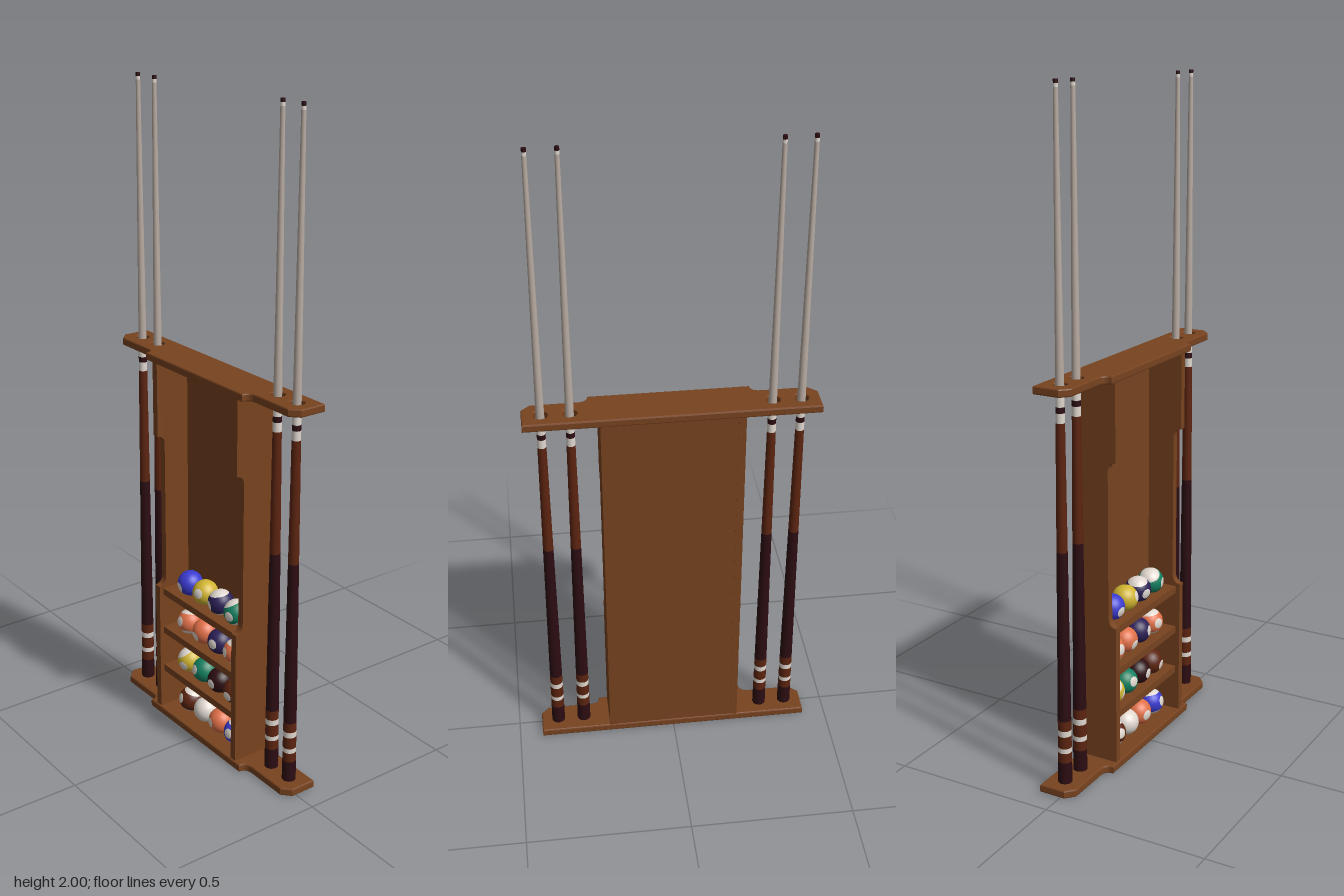
import * as THREE from 'three';

const colours = {
  wood: 0x78431f, darkStain: 0x2c0d12, redStain: 0x5c2410, ivory: 0xe0d8d0, shaft: 0xb9aca2,
  blue: 0x3a3ad0, yellow: 0xd0b430, purple: 0x2c2058, green: 0x138060, orange: 0xe07048,
};
const mats = {};
for (const [name, color] of Object.entries(colours)) {
  mats[name] = new THREE.MeshStandardMaterial({ color });
  mats[name].name = name;
}

function add(parent, name, geometry, mat, x = 0, y = 0, z = 0) {
  const mesh = new THREE.Mesh(geometry, mats[mat]);
  mesh.name = name;
  mesh.position.set(x, y, z);
  parent.add(mesh);
  return mesh;
}

const cueXs = [-0.373, -0.29, 0.29, 0.373];
const cueZ = -0.015;

// Notched end board, drawn in plan with -z as shape y, optionally drilled for the cues
function boardGeometry(drilled) {
  const s = new THREE.Shape();
  s.moveTo(-0.427, 0.067);
  s.lineTo(-0.427, -0.014);
  s.lineTo(-0.4, -0.039);
  s.lineTo(-0.265, -0.039);
  s.quadraticCurveTo(-0.235, -0.039, -0.235, -0.065);
  s.lineTo(0.235, -0.065);
  s.quadraticCurveTo(0.235, -0.039, 0.265, -0.039);
  s.lineTo(0.4, -0.039);
  s.lineTo(0.427, -0.014);
  s.lineTo(0.427, 0.067);
  s.closePath();
  if (drilled) {
    for (const x of cueXs) {
      const hole = new THREE.Path();
      hole.absarc(x, -cueZ, 0.021, 0, Math.PI * 2, true);
      s.holes.push(hole);
    }
  }
  const b = 0.004;
  const g = new THREE.ExtrudeGeometry(s, {
    depth: 0.024 - 2 * b, bevelThickness: b, bevelSize: b, bevelOffset: -b, bevelSegments: 2, curveSegments: 12,
  });
  g.translate(0, 0, b);
  return g.rotateX(-Math.PI / 2);
}

// Side panel with a shallow recess along its front edge, drawn as (z, y)
function sideGeometry() {
  const s = new THREE.Shape();
  s.moveTo(-0.065, 0.02);
  s.lineTo(0.06, 0.02);
  s.lineTo(0.06, 0.45);
  s.quadraticCurveTo(0.035, 0.452, 0.035, 0.485);
  s.lineTo(0.035, 0.925);
  s.quadraticCurveTo(0.035, 0.95, 0.06, 0.952);
  s.lineTo(0.06, 1.19);
  s.lineTo(-0.065, 1.19);
  s.closePath();
  const g = new THREE.ExtrudeGeometry(s, { depth: 0.022, bevelEnabled: false, curveSegments: 8 });
  return g.translate(0, 0, -0.011).rotateY(-Math.PI / 2);
}

// Cue made of coloured tapering sections: [top height, colour]
const cueSections = [
  [0.09, 'darkStain'], [0.12, 'redStain'], [0.135, 'ivory'], [0.172, 'redStain'], [0.19, 'ivory'],
  [0.22, 'redStain'], [0.73, 'darkStain'], [1.1, 'redStain'], [1.128, 'ivory'], [1.145, 'darkStain'],
  [1.172, 'ivory'], [1.98, 'shaft'], [1.99, 'ivory'], [2, 'darkStain'],
];
const cueRadius = (y) => THREE.MathUtils.lerp(0.021, 0.0065, Math.min(1, y / 1.98));

function makeCue() {
  const cue = new THREE.Group();
  let y0 = 0.023;
  cueSections.forEach(([y1, mat], i) => {
    const g = new THREE.CylinderGeometry(cueRadius(y1), cueRadius(y0), y1 - y0, 20, 1,
      i > 0 && i < cueSections.length - 1);
    add(cue, 'cueSection', g, mat, 0, (y0 + y1) / 2, 0);
    y0 = y1;
  });
  return cue;
}

// Ball with a pale spot; striped balls get pale caps around a coloured band
const R = 0.04;
function makeBall(mat, striped, seed) {
  const ball = new THREE.Group();
  const zone = (from, to) => new THREE.SphereGeometry(R, 28, 16, 0, Math.PI * 2, from, to - from);
  if (striped) {
    add(ball, 'ballCap', zone(0, 0.85), 'ivory');
    add(ball, 'ballBand', zone(0.85, Math.PI - 0.85), mat);
    add(ball, 'ballCap', zone(Math.PI - 0.85, Math.PI), 'ivory');
  } else {
    add(ball, 'ballBody', zone(0, Math.PI), mat);
  }
  if (mat !== 'ivory') {
    const spot = new THREE.SphereGeometry(R + 0.0005, 20, 4, 0, Math.PI * 2, 0, 0.4);
    add(ball, 'ballSpot', spot.rotateX(Math.PI / 2), 'ivory');
  }
  ball.rotation.set(0.25 * Math.sin(seed * 2.3), 0.3 * Math.sin(seed * 3.7), 0.5 * Math.sin(seed * 5.1));
  return ball;
}

// Rows from top to bottom; a star marks a striped ball
const rows = [
  { y: 0.473, x: -0.116, balls: ['blue', 'yellow', 'purple*', 'green*'] },
  { y: 0.338, x: -0.118, balls: ['orange*', 'orange', 'purple', 'orange*'] },
  { y: 0.202, x: -0.118, balls: ['yellow*', 'green', 'darkStain', 'redStain'] },
  { y: 0.061, x: -0.112, balls: ['redStain*', 'ivory', 'orange', 'blue*'] },
];

export function createModel() {
  const model = new THREE.Group();
  model.name = 'cueRack';

  // Cabinet
  add(model, 'bottomBoard', boardGeometry(false), 'wood');
  add(model, 'topBoard', boardGeometry(true), 'wood', 0, 1.184, 0);
  add(model, 'backPanel', new THREE.BoxGeometry(0.38, 1.17, 0.014), 'wood', 0, 0.605, -0.057);
  for (const side of [-1, 1]) add(model, 'sidePanel', sideGeometry(), 'wood', side * 0.197, 0, 0);

  // Shelves and balls
  rows.forEach((row, r) => {
    if (r < 3) add(model, 'shelf', new THREE.BoxGeometry(0.376, 0.022, 0.1), 'wood', 0, row.y - 0.042, -0.003);
    row.balls.forEach((code, i) => {
      const ball = makeBall(code.replace('*', ''), code.endsWith('*'), r * 4 + i + 1);
      ball.name = 'ball';
      ball.position.set(row.x + i * 0.0795, row.y, -0.008);
      model.add(ball);
    });
  });

  // Cues
  for (const x of cueXs) {
    const cue = makeCue();
    cue.name = 'cue';
    cue.position.set(x, 0, cueZ);
    model.add(cue);
  }
  return model;
}
